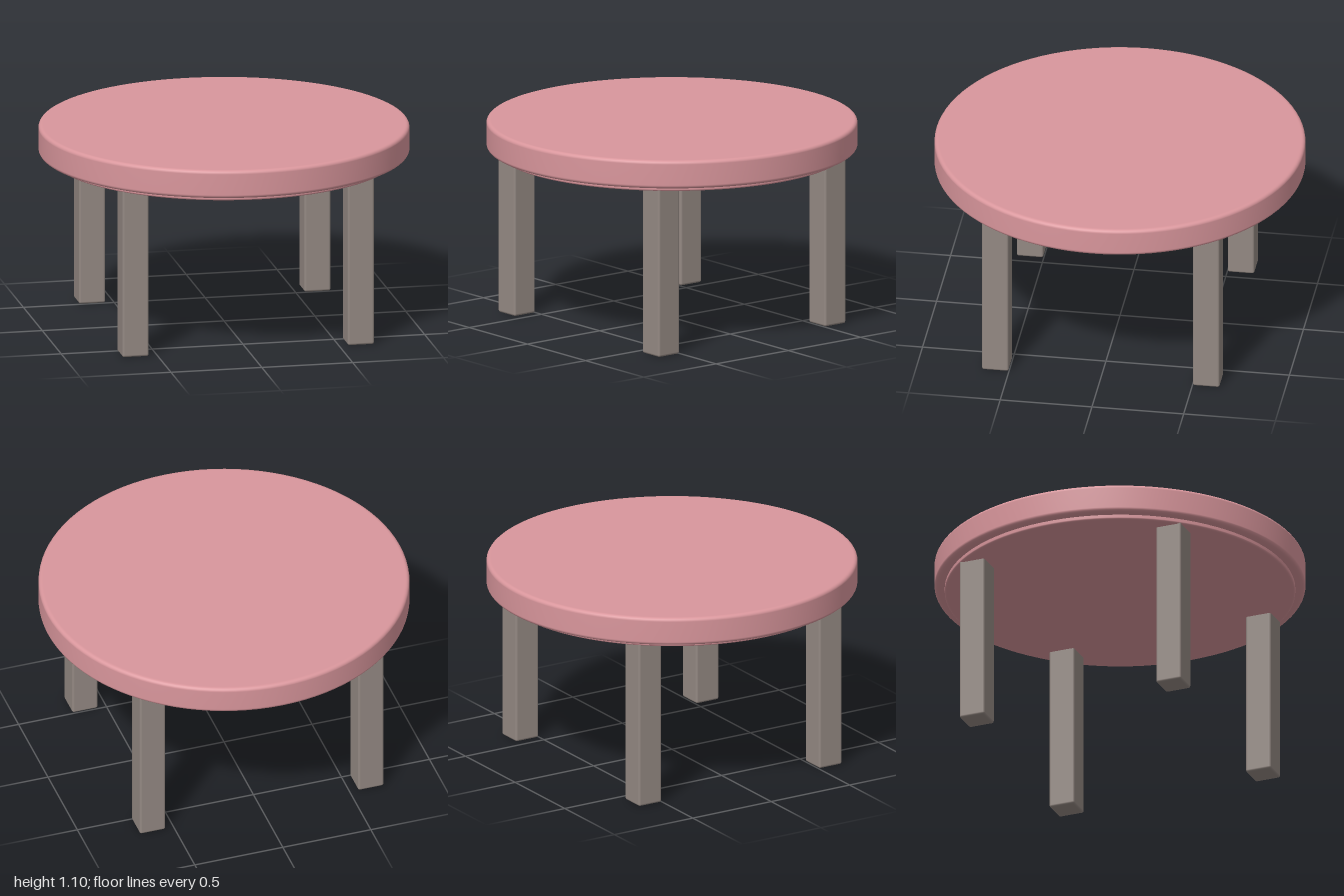
import * as THREE from 'three';
import { RoundedBoxGeometry } from 'three/addons/geometries/RoundedBoxGeometry.js';

// Round slab with softened edges, from y0 up to y1
function roundedDisc(radius, y0, y1, r) {
  const points = [new THREE.Vector2(0, y0), new THREE.Vector2(radius - r - 0.005, y0)];
  const steps = 5;
  for (const [cy, start] of [[y0 + r, -Math.PI / 2], [y1 - r, 0]]) {
    for (let i = 0; i <= steps; i++) {
      const a = start + (i / steps) * Math.PI / 2;
      points.push(new THREE.Vector2(radius - r + r * Math.cos(a), cy + r * Math.sin(a)));
    }
  }
  points.push(new THREE.Vector2(radius - r - 0.005, y1), new THREE.Vector2(0, y1));
  return new THREE.LatheGeometry(points, 96);
}

export function createModel() {
  const table = new THREE.Group();
  table.name = 'roundTable';

  const pink = new THREE.MeshStandardMaterial({ color: 0xd9969c });
  pink.name = 'dustyPink';
  const grey = new THREE.MeshStandardMaterial({ color: 0x948983 });
  grey.name = 'warmGrey';

  const add = (name, geometry, material) => {
    const mesh = new THREE.Mesh(geometry, material);
    mesh.name = name;
    table.add(mesh);
    return mesh;
  };

  // Thick top and the thin stepped disc beneath it
  add('tableTop', roundedDisc(1, 0.945, 1.1, 0.02), pink);
  add('underRim', roundedDisc(0.945, 0.92, 0.965, 0.01), pink);

  // Four square legs with softened edges, running up into the under rim
  const legGeometry = new RoundedBoxGeometry(0.145, 0.94, 0.145, 3, 0.012);
  for (const [side, x] of [['Left', 0.62], ['Right', -0.62]]) {
    for (const [end, z] of [['front', 0.575], ['back', -0.575]]) {
      add(`${end}${side}Leg`, legGeometry, grey).position.set(x, 0.47, z);
    }
  }

  return table;
}
